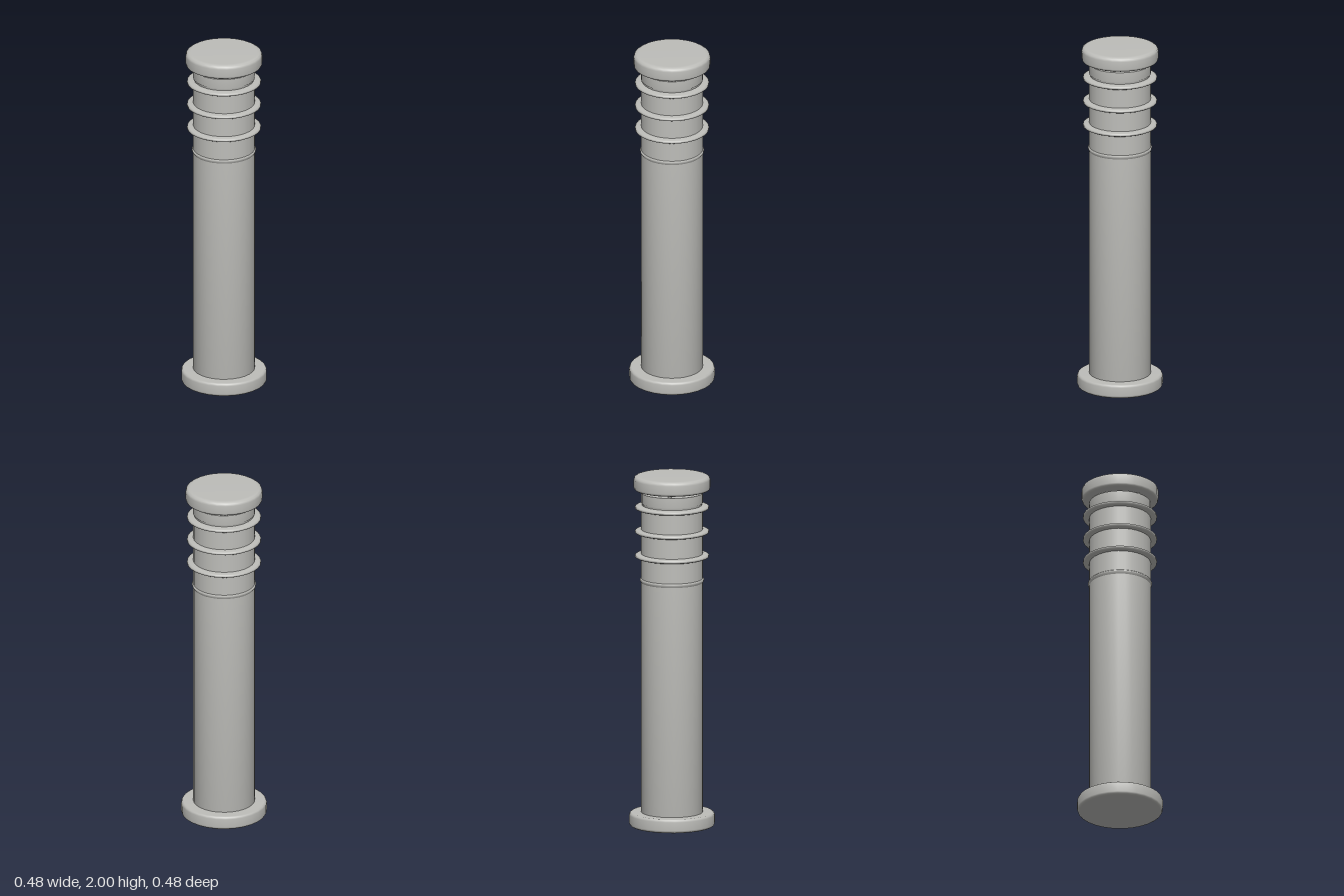
import * as THREE from 'three';

const SEGMENTS = 28;

export function createModel() {
  const group = new THREE.Group();
  const metal = new THREE.MeshStandardMaterial({ color: 0xbdbdb9 });
  metal.name = 'grey metal';

  // Revolve a [radius, height] profile, listed from bottom to top
  const turned = (name, profile) => {
    const points = profile.map(([r, y]) => new THREE.Vector2(r, y));
    const mesh = new THREE.Mesh(new THREE.LatheGeometry(points, SEGMENTS), metal);
    mesh.name = name;
    group.add(mesh);
    return mesh;
  };

  // Round foot with softened rims
  turned('base', [
    [0, 0], [0.228, 0], [0.236, 0.005], [0.24, 0.015],
    [0.24, 0.063], [0.236, 0.073], [0.228, 0.078], [0, 0.078],
  ]);

  // Tall post, ending in a thin lip
  turned('post', [[0, 0.07], [0.173, 0.07], [0.173, 1.395]]);
  turned('postLip', [
    [0.173, 1.39], [0.179, 1.4], [0.18, 1.408], [0.176, 1.413], [0.16, 1.413],
  ]);

  // Lamp head: neck and the stacked sleeves between the louvres
  turned('neck', [[0.173, 1.405], [0.173, 1.54]]);
  turned('lowerSleeve', [[0.173, 1.54], [0.173, 1.68]]);
  turned('middleSleeve', [[0.173, 1.68], [0.173, 1.82]]);
  turned('upperSleeve', [[0.168, 1.82], [0.168, 1.84], [0.174, 1.845], [0.174, 1.902]]);
  turned('sleeveTop', [[0.174, 1.902], [0, 1.902]]);

  // Thin louvre rings
  for (const y of [1.543, 1.682, 1.82]) {
    turned('louvre', [
      [0.168, y - 0.012], [0.198, y - 0.011], [0.207, y - 0.006],
      [0.207, y + 0.004], [0.198, y + 0.008], [0.168, y + 0.012],
    ]);
  }

  // Three small pins carrying the cap
  for (let i = 0; i < 3; i++) {
    const a = (i * Math.PI * 2) / 3;
    const pin = new THREE.Mesh(new THREE.CylinderGeometry(0.01, 0.01, 0.04, 10), metal);
    pin.name = 'capPin';
    pin.position.set(Math.cos(a) * 0.148, 1.911, Math.sin(a) * 0.148);
    group.add(pin);
  }

  // Cap with rounded rims
  turned('cap', [
    [0, 1.918], [0.202, 1.918], [0.211, 1.923], [0.215, 1.933],
    [0.215, 1.978], [0.211, 1.99], [0.2, 1.997], [0.185, 2], [0, 2],
  ]);

  return group;
}
